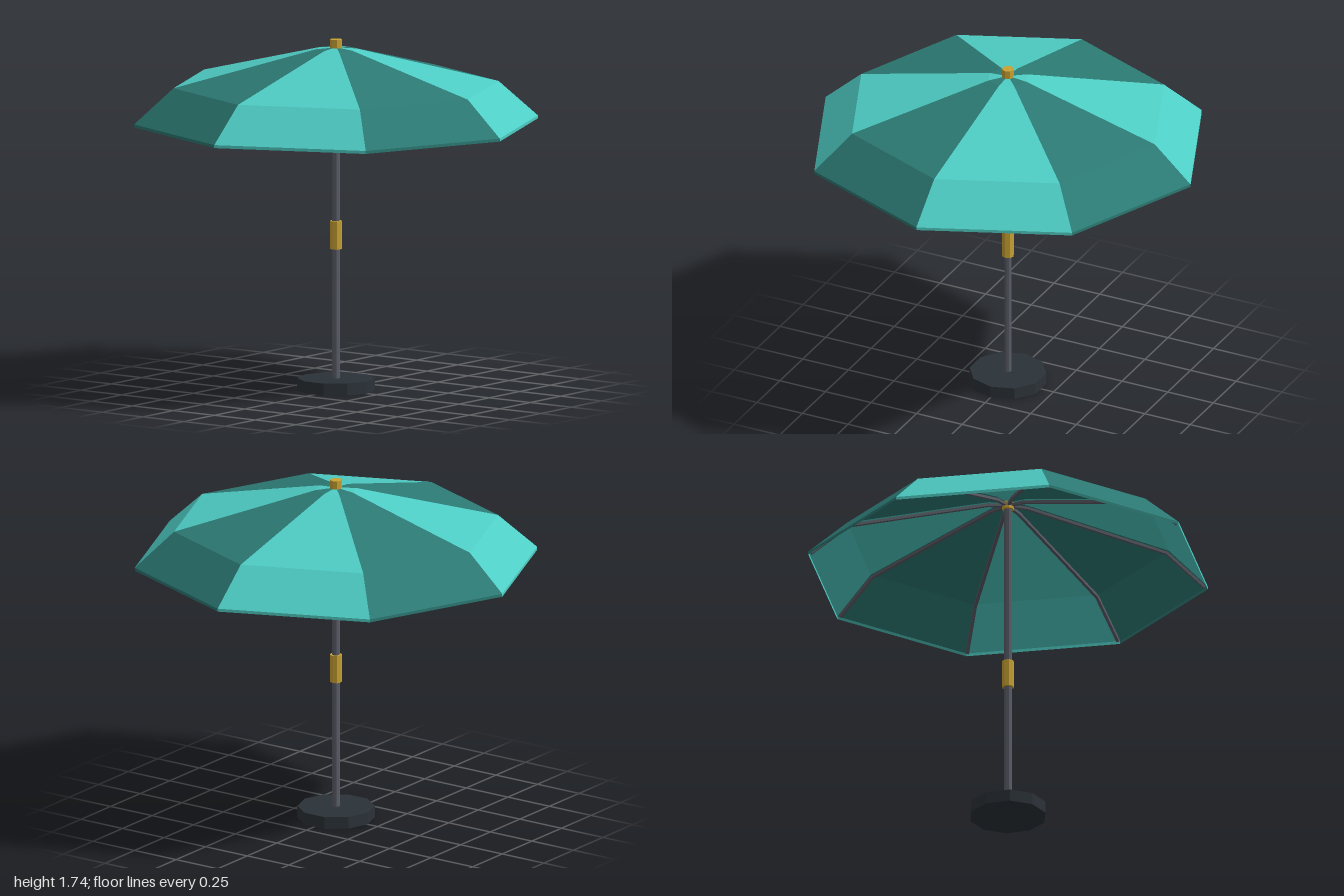
import * as THREE from 'three';

const material = (name, color, extra = {}) => {
  const m = new THREE.MeshStandardMaterial({ color, flatShading: true, ...extra });
  m.name = name;
  return m;
};

export function createModel() {
  const model = new THREE.Group();
  model.name = 'parasol';

  const lightTeal = material('light teal cloth', 0x4ecdc4, { side: THREE.DoubleSide });
  const darkTeal = material('dark teal cloth', 0x2c7a74, { side: THREE.DoubleSide });
  const steel = material('grey steel', 0x5a5d68);
  const brass = material('brass', 0xc9a233);
  const stone = material('dark base', 0x2b3238);

  const add = (name, geometry, mat, parent = model) => {
    const mesh = new THREE.Mesh(geometry, mat);
    mesh.name = name;
    parent.add(mesh);
    return mesh;
  };
  // Upright cylinder between two heights
  const post = (name, radius, y0, y1, sides, mat) => {
    add(name, new THREE.CylinderGeometry(radius, radius, y1 - y0, sides), mat)
      .position.y = (y0 + y1) / 2;
  };

  post('base', 0.19, 0, 0.06, 10, stone);
  post('pole', 0.019, 0.06, 1.69, 8, steel);
  post('collar', 0.03, 0.7, 0.84, 8, brass);
  post('finial', 0.03, 1.66, 1.74, 8, brass);

  // Canopy: eight panels in alternating colours, hem to crown
  const canopy = new THREE.Group();
  canopy.name = 'canopy';
  model.add(canopy);
  const profile = [[1, 1.325], [1, 1.34], [0.805, 1.515], [0.1, 1.692], [0, 1.7]]
    .map(([r, y]) => new THREE.Vector2(r, y));
  const step = Math.PI / 4;
  for (let i = 0; i < 8; i++) {
    const panel = new THREE.LatheGeometry(profile, 1, i * step, step).toNonIndexed();
    panel.computeVertexNormals();
    add('canopyPanel', panel, i % 2 ? darkTeal : lightTeal, canopy);
  }

  // Ribs: bent bars under each seam
  const ribs = new THREE.Group();
  ribs.name = 'ribs';
  model.add(ribs);
  const ribPath = [[0.01, 1.682], [0.1, 1.676], [0.795, 1.5], [0.985, 1.333]]
    .map(([r, y]) => new THREE.Vector3(0, y, r));
  for (let i = 0; i < 8; i++) {
    const rib = new THREE.Group();
    rib.name = 'rib';
    rib.rotation.y = i * step;
    ribs.add(rib);
    for (let k = 0; k < ribPath.length - 1; k++) {
      const a = ribPath[k], b = ribPath[k + 1];
      const bar = add('ribBar', new THREE.BoxGeometry(0.016, 0.014, a.distanceTo(b)), steel, rib);
      bar.position.copy(a).lerp(b, 0.5);
      bar.rotation.x = Math.atan2(a.y - b.y, b.z - a.z);
    }
  }

  return model;
}
